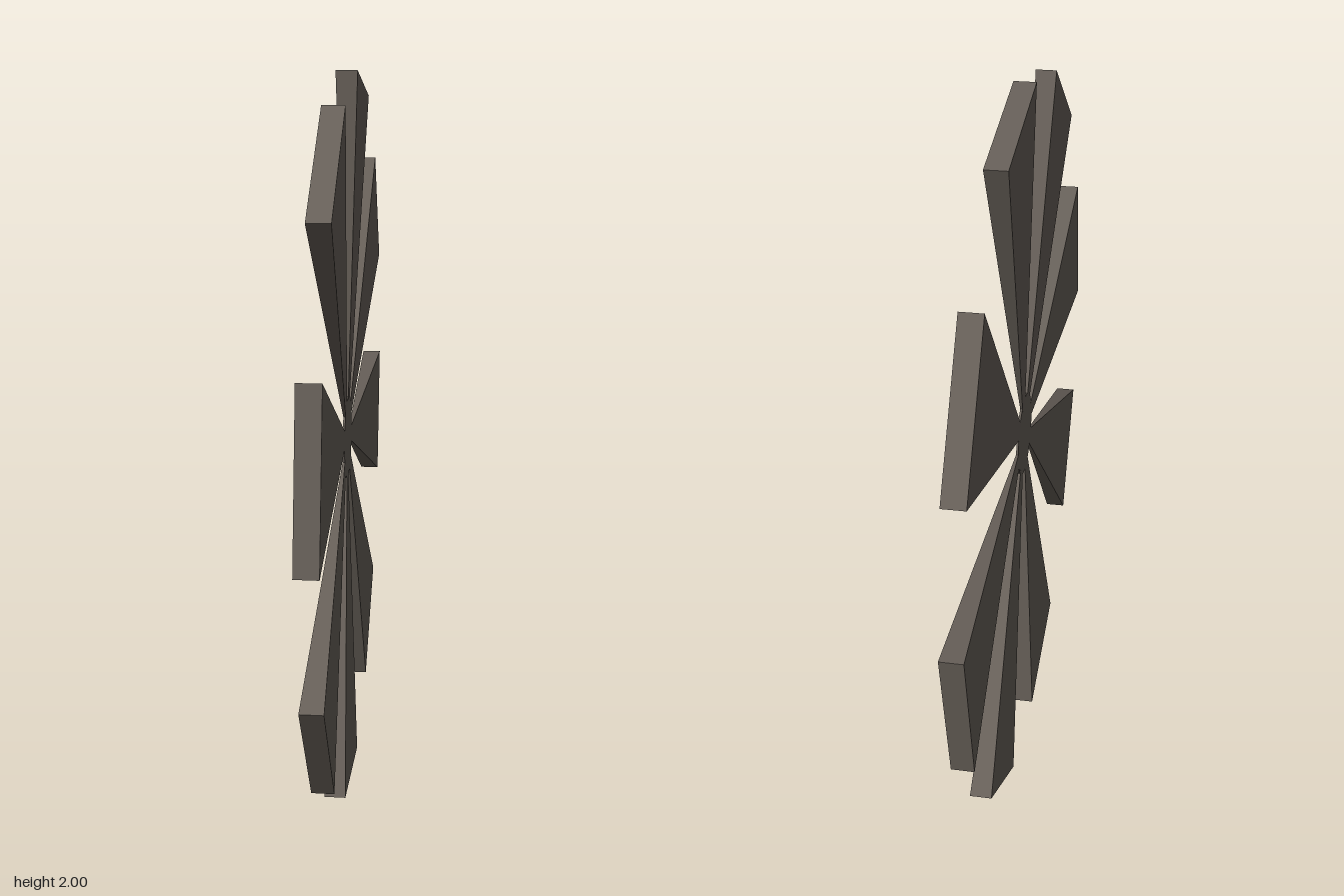
import * as THREE from 'three';

const BLADES = 8;
const TIP_RADIUS = 1.0;
const ROOT_RADIUS = 0.04;
const HALF_ANGLE = THREE.MathUtils.degToRad(12);
const TIP_THICKNESS = 0.058;
const HUB_RADIUS = 0.117;

// Wedge blade: width and thickness both grow in proportion to the radius
function bladeGeometry() {
  const geometry = new THREE.BoxGeometry(1, 1, 1);
  const p = geometry.attributes.position;
  for (let i = 0; i < p.count; i++) {
    const r = p.getX(i) > 0 ? TIP_RADIUS : ROOT_RADIUS;
    const a = Math.sign(p.getY(i)) * HALF_ANGLE;
    p.setXYZ(i, r * Math.cos(a), r * Math.sin(a), p.getZ(i) * TIP_THICKNESS * r / TIP_RADIUS);
  }
  geometry.computeVertexNormals();
  return geometry;
}

export function createModel() {
  const model = new THREE.Group();
  model.name = 'fanWheel';
  const material = new THREE.MeshStandardMaterial({ color: 0x665f58, flatShading: true });

  // Wheel stands upright, turned about the vertical axis
  const wheel = new THREE.Group();
  wheel.name = 'wheel';
  wheel.position.y = 1;
  wheel.rotation.y = THREE.MathUtils.degToRad(49);
  model.add(wheel);

  // Thin round hub
  const hub = new THREE.Mesh(new THREE.CylinderGeometry(HUB_RADIUS, HUB_RADIUS, 0.006, 32), material);
  hub.name = 'hub';
  hub.rotation.x = Math.PI / 2;
  wheel.add(hub);

  // Ring of blades
  const geometry = bladeGeometry();
  for (let i = 0; i < BLADES; i++) {
    const blade = new THREE.Mesh(geometry, material);
    blade.name = `blade${i + 1}`;
    blade.rotation.z = THREE.MathUtils.degToRad(-11) + (i * Math.PI * 2) / BLADES;
    wheel.add(blade);
  }
  return model;
}
